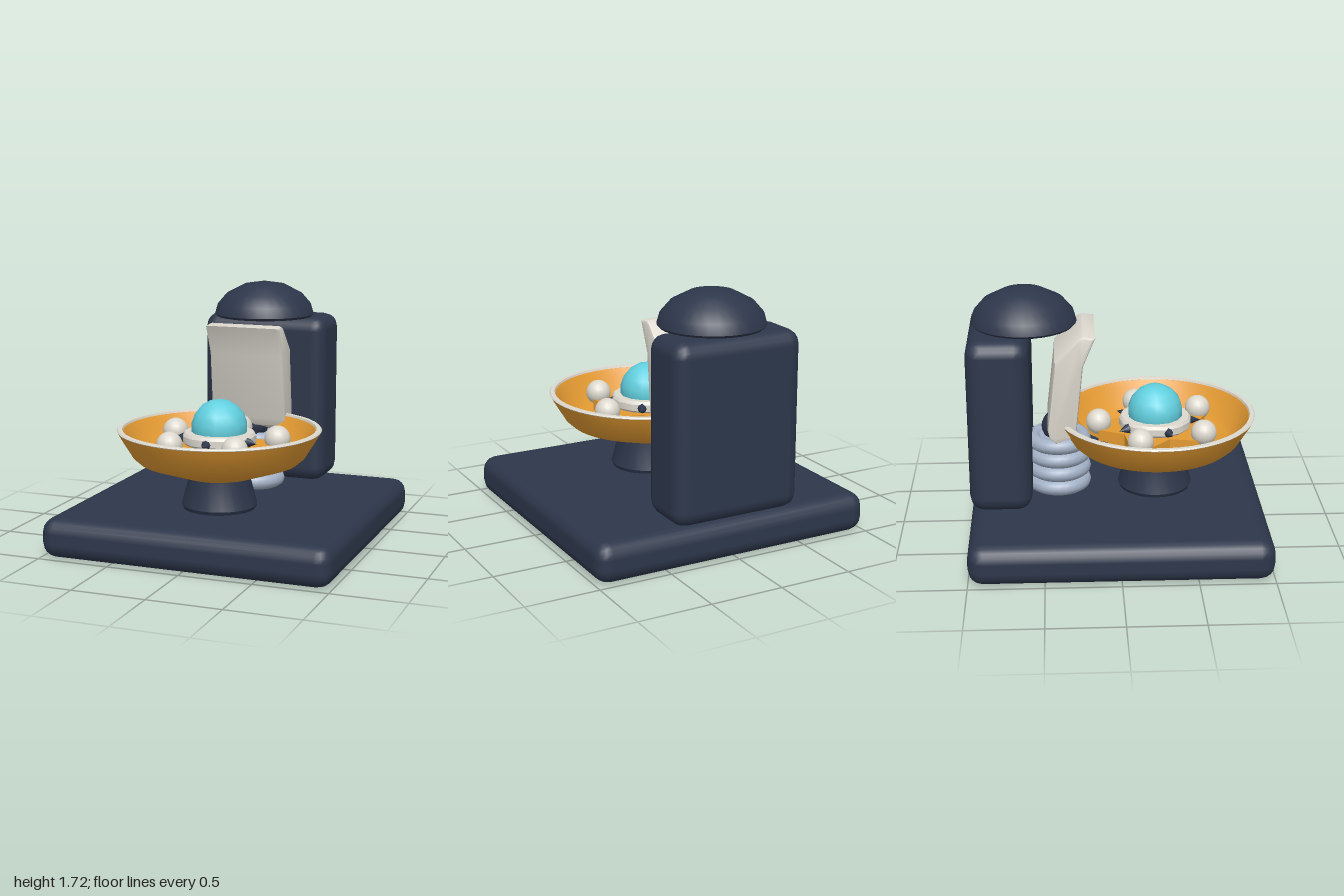
import * as THREE from 'three';
import { toCreasedNormals } from 'three/addons/utils/BufferGeometryUtils.js';
import { RoundedBoxGeometry } from 'three/addons/geometries/RoundedBoxGeometry.js';

const material = (name, color, side = THREE.FrontSide) => {
  const m = new THREE.MeshStandardMaterial({ color, side });
  m.name = name;
  return m;
};

export function createModel() {
  const navy = material('navy', 0x2d374b);
  const orange = material('orange', 0xe39a32, THREE.DoubleSide);
  const ivory = material('ivory', 0xdcd8ce, THREE.DoubleSide);
  const cyan = material('cyan', 0x62cfde);
  const steel = material('steel blue', 0xa3b1c6);

  const model = new THREE.Group();
  model.name = 'controlChair';

  const add = (parent, name, geometry, mat, x = 0, y = 0, z = 0) => {
    const mesh = new THREE.Mesh(geometry, mat);
    mesh.name = name;
    mesh.position.set(x, y, z);
    parent.add(mesh);
    return mesh;
  };
  const vectors = (pts) => pts.map(([x, y]) => new THREE.Vector2(x, y));
  const lathe = (pts, segments, start = 0, length = Math.PI * 2) =>
    toCreasedNormals(new THREE.LatheGeometry(vectors(pts), segments, start, length), 0.6);

  // Base slab and rear tower
  add(model, 'base', new RoundedBoxGeometry(2, 0.27, 2, 2, 0.1), navy, 0, 0.135, 0);
  add(model, 'tower', new RoundedBoxGeometry(0.92, 1.2, 0.42, 2, 0.1), navy, 0, 0.87, -0.79);

  // Domed hood on the tower
  add(model, 'hood', lathe([
    [0, 1.468], [0.34, 1.468], [0.355, 1.485], [0.335, 1.555], [0.27, 1.63], [0.145, 1.695], [0, 1.718],
  ], 32), navy, 0, 0, -0.62);

  // Stacked cushion rings and the joint carrying the backrest
  for (let i = 0; i < 4; i++) {
    const y = 0.322 + i * 0.102;
    const ring = add(model, 'seatRing', new THREE.TorusGeometry(0.172, 0.053, 10, 28), steel, 0, y, -0.4);
    ring.rotation.x = Math.PI / 2;
  }
  add(model, 'seatCore', new THREE.CylinderGeometry(0.17, 0.17, 0.39, 24), steel, 0, 0.465, -0.4);
  add(model, 'backrestJoint', new THREE.SphereGeometry(0.11, 16, 12), navy, 0, 0.72, -0.405);

  // Bent backrest: side profile (z, y) extruded across x
  const b = 0.02;
  const backShape = new THREE.Shape(vectors([
    [0.17, 1.425], [0.225, 1.43], [0.255, 1.415], [0.4, 1.26], [0.405, 1.2],
    [0.452, 0.79], [0.44, 0.735], [0.41, 0.71], [0.32, 0.745], [0.295, 0.79], [0.25, 1.24],
  ]));
  const backGeometry = new THREE.ExtrudeGeometry(backShape, {
    depth: 0.54 - 2 * b, bevelEnabled: true, bevelThickness: b, bevelSize: b, bevelSegments: 2,
  });
  backGeometry.translate(0, 0, -(0.27 - b));
  backGeometry.rotateY(Math.PI / 2);
  add(model, 'backrest', toCreasedNormals(backGeometry, 0.6), ivory);

  // Round console, centred in front of the seat
  const desk = new THREE.Group();
  desk.name = 'console';
  desk.position.z = 0.27;
  model.add(desk);

  add(desk, 'pedestal', lathe([
    [0, 0.27], [0.245, 0.27], [0.257, 0.295], [0.21, 0.47], [0.21, 0.51], [0, 0.51],
  ], 28), navy);

  // Bowl and rim, both open towards the seat
  const gap = 0.37;
  const start = -Math.PI + gap;
  const sweep = 2 * (Math.PI - gap);
  const bowlProfile = [
    [0, 0.495], [0.25, 0.495], [0.54, 0.595], [0.585, 0.635], [0.667, 0.77], [0.685, 0.803],
    [0.645, 0.803], [0.62, 0.765], [0.55, 0.65], [0.5, 0.615], [0.25, 0.545], [0, 0.545],
  ];
  const rimProfile = [[0.645, 0.795], [0.683, 0.8], [0.688, 0.808], [0.68, 0.817], [0.652, 0.817], [0.645, 0.795]];
  const openRing = (name, profile, mat) => {
    add(desk, name, lathe(profile, 40, start, sweep), mat);
    for (const phi of [start, start + sweep]) {
      const cap = add(desk, name + 'End', new THREE.ShapeGeometry(new THREE.Shape(vectors(profile))), mat);
      cap.rotation.y = phi - Math.PI / 2;
    }
  };
  openRing('bowl', bowlProfile, orange);
  openRing('rim', rimProfile, ivory);

  // Five-armed star with blunt tips
  const star = [];
  for (let i = 0; i < 5; i++) {
    const a = Math.PI / 2 + i * Math.PI * 0.4;
    for (const [r, d] of [[0.4, -0.19], [0.4, 0.19], [0.27, Math.PI / 5]]) {
      star.push([r * Math.cos(a + d), r * Math.sin(a + d)]);
    }
  }
  const starGeometry = new THREE.ExtrudeGeometry(new THREE.Shape(vectors(star)), { depth: 0.08, bevelEnabled: false });
  starGeometry.rotateX(-Math.PI / 2);
  add(desk, 'star', starGeometry, orange, 0, 0.63, 0);

  // Knobs on the arms and spikes between them
  for (let i = 0; i < 5; i++) {
    const a = Math.PI + i * Math.PI * 0.4;
    add(desk, 'knob', new THREE.SphereGeometry(0.088, 18, 12), ivory,
      0.39 * Math.sin(a), 0.745, 0.39 * Math.cos(a));
    const s = a + Math.PI / 5;
    const spike = new THREE.ConeGeometry(0.045, 0.1, 8);
    spike.rotateX(Math.PI / 2);
    add(desk, 'spike', spike, navy, 0.265 * Math.sin(s), 0.745, 0.265 * Math.cos(s)).rotation.y = s;
  }

  // Hub and glowing dome
  add(desk, 'hub', lathe([
    [0, 0.7], [0.225, 0.7], [0.25, 0.725], [0.25, 0.77], [0.235, 0.79], [0, 0.79],
  ], 14), ivory);
  add(desk, 'dome', new THREE.SphereGeometry(0.19, 14, 9), cyan, 0, 0.82, 0);

  return model;
}
